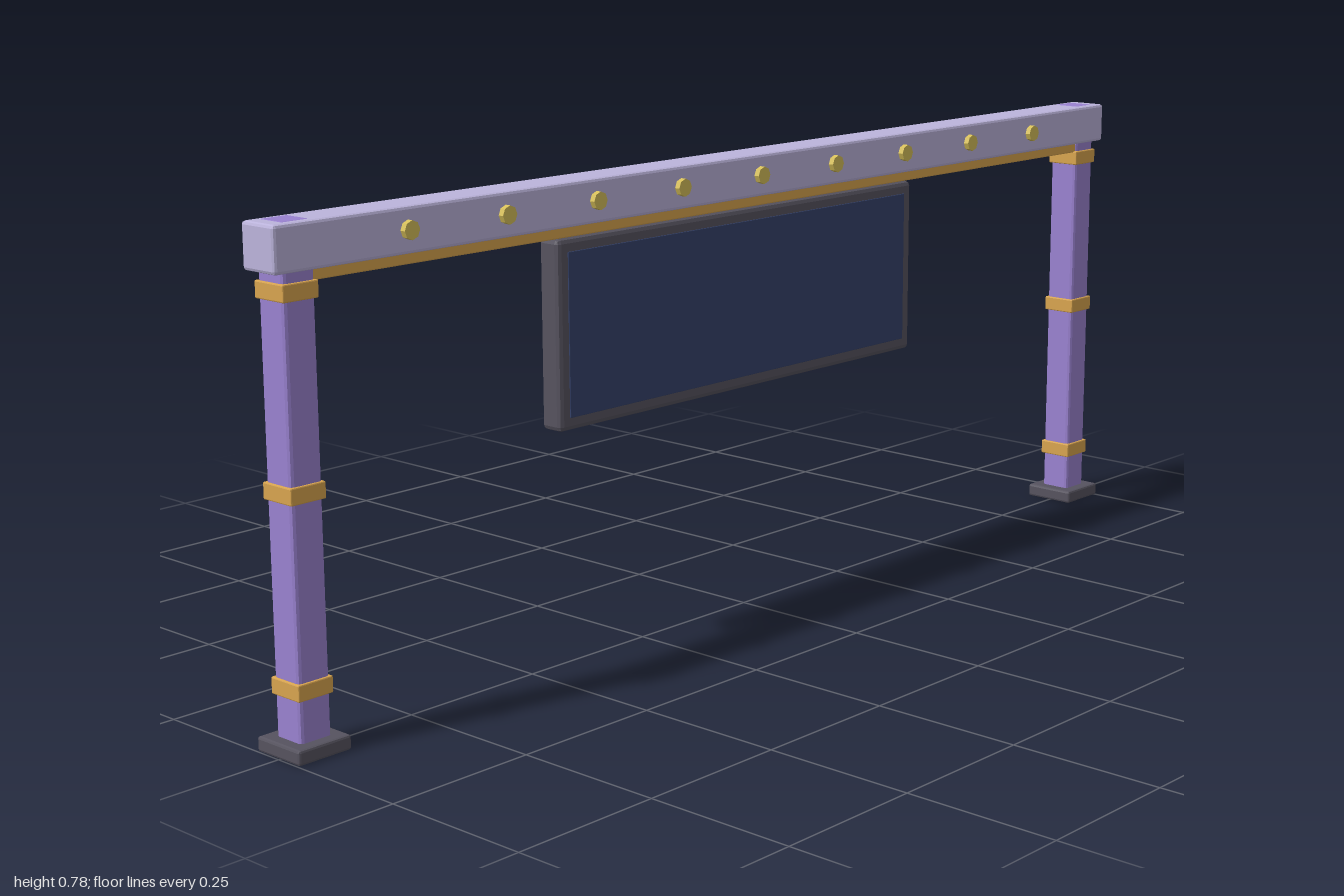
import * as THREE from 'three';
import { RoundedBoxGeometry } from 'three/addons/geometries/RoundedBoxGeometry.js';

const paint = (color) => new THREE.MeshStandardMaterial({ color, flatShading: true });

export function createModel() {
  const model = new THREE.Group();
  const purple = paint(0x9a82d0), lilac = paint(0xbcb4dc), gold = paint(0xd9a54f);
  const brass = paint(0xd6bf5a), dark = paint(0x56535f), navy = paint(0x35426b);

  // Box with softened edges, given by its lower and upper y
  function block(name, parent, material, w, d, y0, y1, bevel, x = 0, z = 0) {
    const mesh = new THREE.Mesh(new RoundedBoxGeometry(w, y1 - y0, d, 1, bevel), material);
    mesh.position.set(x, (y0 + y1) / 2, z);
    mesh.name = name;
    parent.add(mesh);
    return mesh;
  }

  // Two banded posts on foot plates; their tops show through the beam
  for (const side of [-1, 1]) {
    const post = new THREE.Group();
    post.name = side > 0 ? 'leftPost' : 'rightPost';
    post.position.x = side * 0.952;
    block('foot', post, dark, 0.096, 0.096, 0.0005, 0.024, 0.004);
    block('shaft', post, purple, 0.056, 0.056, 0, 0.7775, 0.006);
    for (const y of [0.101, 0.39, 0.679]) {
      block('band', post, gold, 0.063, 0.063, y - 0.013, y + 0.013, 0.002);
    }
    model.add(post);
  }

  // Crossbeam with a gold strip beneath
  block('beam', model, lilac, 2, 0.071, 0.707, 0.777, 0.005, 0, 0.001);
  block('underStrip', model, gold, 1.87, 0.05, 0.69, 0.71, 0.002);

  // Row of studs on the beam front
  const studShape = new THREE.CylinderGeometry(0.0145, 0.0145, 0.014, 8).rotateX(Math.PI / 2);
  for (let i = -4; i <= 4; i++) {
    const stud = new THREE.Mesh(studShape, brass);
    stud.position.set(i * 0.19, 0.743, 0.039);
    stud.name = 'stud';
    model.add(stud);
  }

  // Hanging display panel
  block('panelFrame', model, dark, 0.876, 0.042, 0.38, 0.685, 0.008, 0, -0.012);
  block('panelScreen', model, navy, 0.834, 0.008, 0.401, 0.664, 0.001, 0, 0.0065);

  return model;
}
